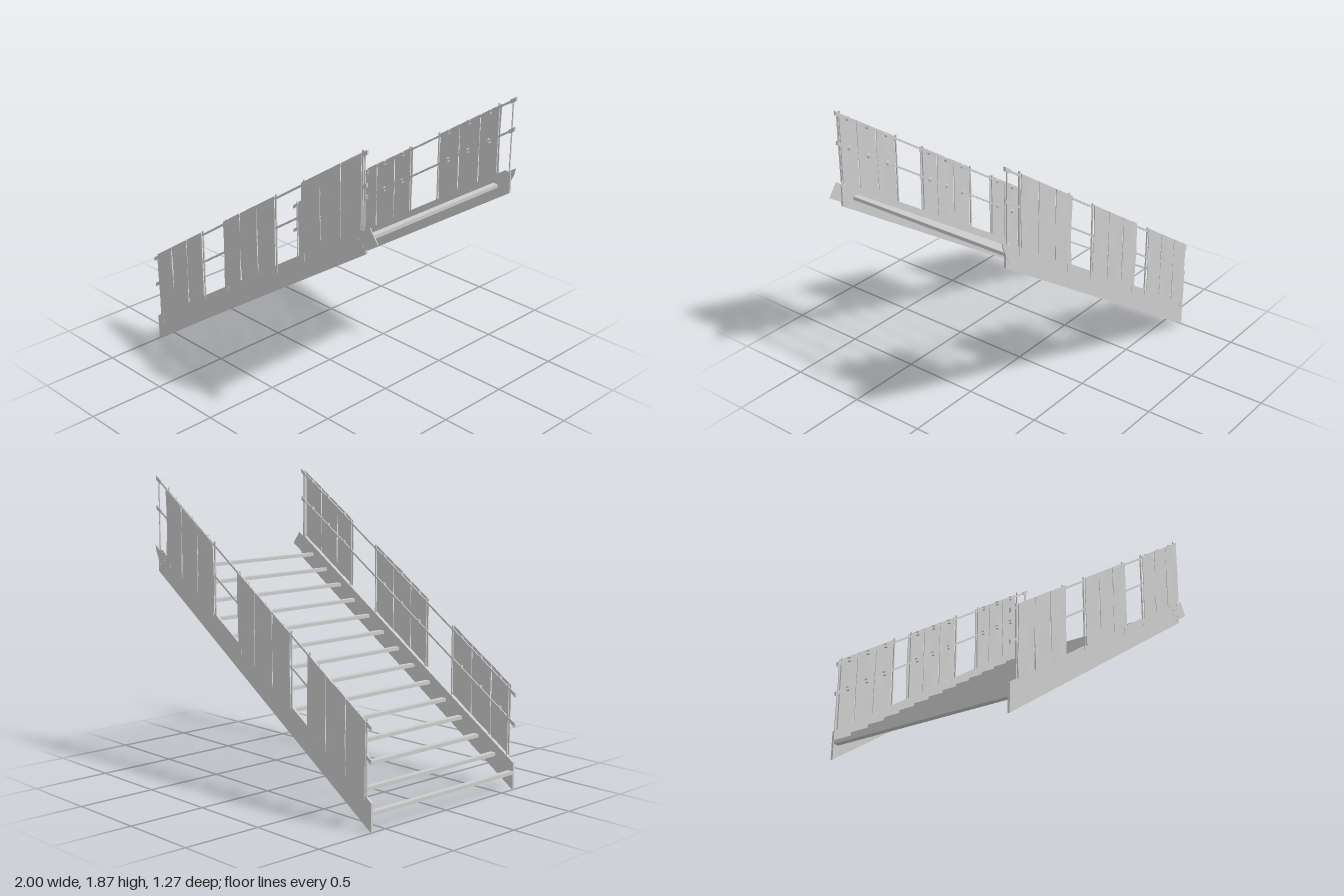
import * as THREE from 'three';

const SLOPE = 0.665;
const material = new THREE.MeshStandardMaterial({ color: 0xcccccc, side: THREE.DoubleSide });

function addMesh(parent, name, geometry, x = 0, y = 0, z = 0) {
  const mesh = new THREE.Mesh(geometry, material);
  mesh.name = name;
  mesh.position.set(x, y, z);
  parent.add(mesh);
  return mesh;
}

// Flat plate cut from an outline in the x-y plane, centred on z
function plate(points, depth) {
  const shape = new THREE.Shape(points.map(([x, y]) => new THREE.Vector2(x, y)));
  return new THREE.ExtrudeGeometry(shape, { depth, bevelEnabled: false }).translate(0, 0, -depth / 2);
}

// Box whose top and bottom follow the stair slope, with optional shallow dents
function slopedBox(width, height, depth, dent = 0, seed = 0) {
  const geometry = new THREE.BoxGeometry(width, height, depth, dent ? 4 : 1, dent ? 6 : 1, 1);
  const p = geometry.attributes.position;
  for (let i = 0; i < p.count; i++) {
    const x = p.getX(i), y = p.getY(i);
    const wave = Math.sin(x * 38 + seed * 2.1) * Math.cos(y * 13 + seed * 1.3);
    p.setXYZ(i, x, y + x * SLOPE, p.getZ(i) + dent * wave);
  }
  geometry.computeVertexNormals();
  return geometry;
}

// One side: stringer, rails, posts and three groups of boards
function buildSide(name, sign, panelStarts) {
  const side = new THREE.Group();
  side.name = name;

  // Sloping stringer with upright cut ends
  addMesh(side, 'stringer', plate(
    [[-1, 0], [0.91, 1.27], [0.91, 1.4], [0.87, 1.405], [-1, 0.17]], 0.014), 0, 0, sign * 0.607);

  // End bracket at the top, longer on the front side
  const tip = sign > 0 ? 1 : 0.93;
  addMesh(side, 'endBracket', plate(
    [[0.87, 1.27], [0.8, 1.34], [0.94, 1.435], [tip, 1.355 + (1 - tip) * 0.5]], 0.006), 0, 0, sign * 0.612);
  for (const [x, y] of [[0.85, 1.34], [0.89, 1.31]]) {
    const bolt = addMesh(side, 'bracketBolt', new THREE.CylinderGeometry(0.007, 0.007, 0.014, 6), x, y, sign * 0.612);
    bolt.rotation.x = Math.PI / 2;
  }

  // Two handrails parallel to the stringer
  for (const y of [0.4, 0.585]) {
    addMesh(side, 'rail', slopedBox(1.91, 0.014, 0.008), -0.045, y + 0.955 * SLOPE, sign * 0.612);
    for (const x of [-0.98, 0.895]) {
      addMesh(side, 'railEnd', slopedBox(0.04, 0.026, 0.012), x, y + (x + 1) * SLOPE, sign * 0.612);
    }
  }

  panelStarts.forEach((start, g) => {
    const panel = new THREE.Group();
    panel.name = 'boardGroup';
    side.add(panel);
    // Three dented boards with narrow gaps
    for (let b = 0; b < 3; b++) {
      const x = start + 0.0783 + b * 0.1567;
      const y = 0.42 + (x + 0.95) * 0.66;
      addMesh(panel, 'board', slopedBox(0.151, 0.44, 0.004, 0.003, g * 3 + b + sign), x, y, sign * 0.629);
      // Clamps holding the board to both rails
      for (const railY of [0.4, 0.585]) {
        addMesh(panel, 'clamp', new THREE.BoxGeometry(0.014, 0.024, 0.022), x, railY + (x + 1) * SLOPE, sign * 0.618);
      }
    }
    // Thin posts behind the outer edges
    for (const x of [start + 0.008, start + 0.462]) {
      addMesh(panel, 'post', new THREE.BoxGeometry(0.008, 0.5, 0.008), x, 0.36 + (x + 1) * SLOPE, sign * 0.612);
    }
  });

  // Slim post at the top end
  addMesh(side, 'endPost', new THREE.BoxGeometry(0.006, 0.5, 0.006), 0.895, 0.34 + 1.895 * SLOPE, sign * 0.61);
  return side;
}

export function createModel() {
  const model = new THREE.Group();
  model.name = 'staircase';
  model.add(buildSide('frontSide', 1, [-0.95, -0.27, 0.42]));
  model.add(buildSide('backSide', -1, [-0.97, -0.36, 0.33]));

  // Narrow bar treads between the stringers
  const treads = new THREE.Group();
  treads.name = 'treads';
  model.add(treads);
  for (let i = 0; i < 14; i++) {
    addMesh(treads, 'tread', new THREE.BoxGeometry(0.036, 0.022, 1.2), -0.98 + i * 0.1372, 0.105 + i * 0.0912, 0);
  }
  return model;
}
